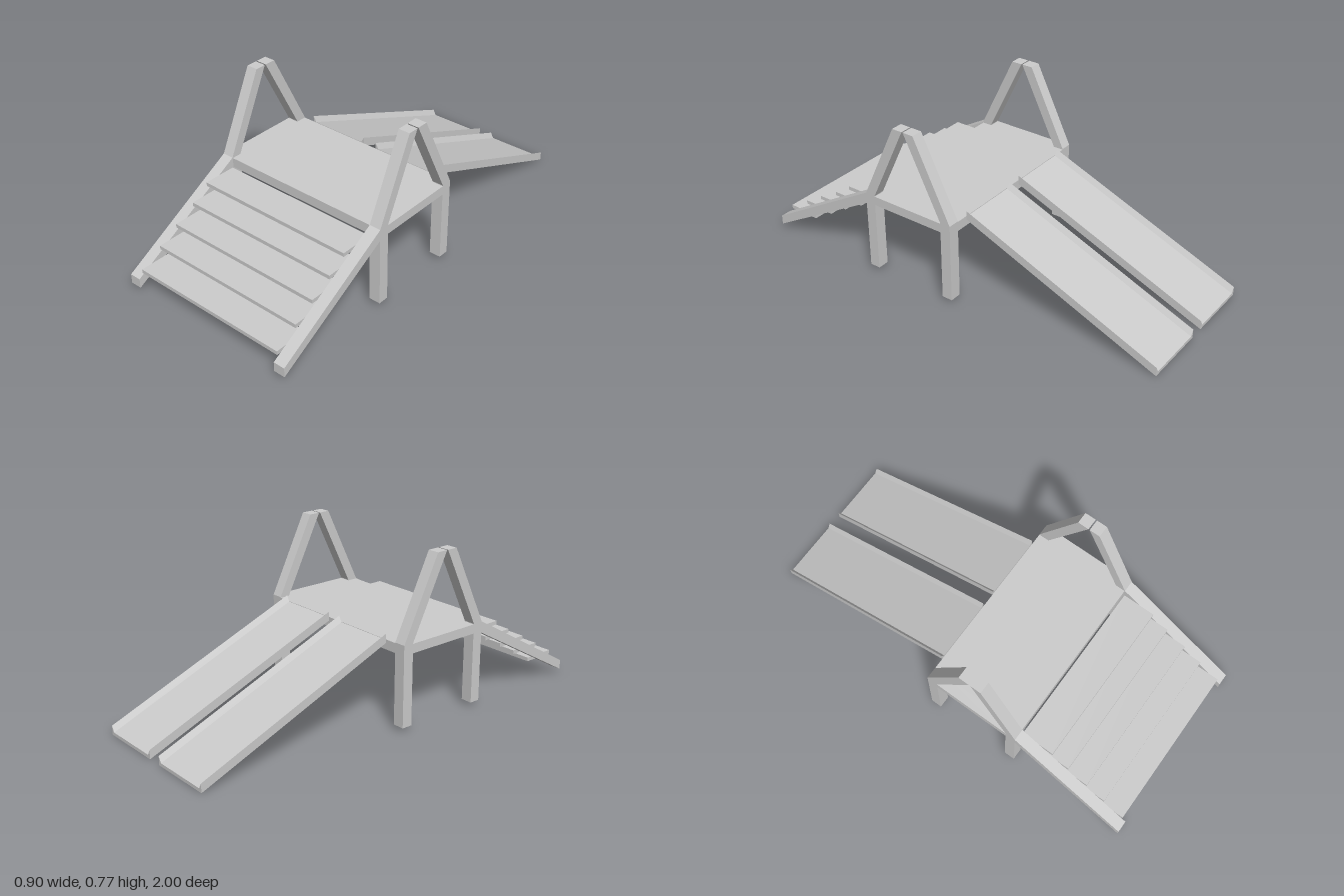
import * as THREE from 'three';

const material = new THREE.MeshStandardMaterial({ color: 0xcccccc, flatShading: true });

const SIDE_IN = 0.395, SIDE_OUT = 0.45;   // inner and outer faces of the side timbers
const WIDTH = SIDE_OUT - SIDE_IN;

function add(parent, name, geometry) {
  const mesh = new THREE.Mesh(geometry, material);
  mesh.name = name;
  parent.add(mesh);
  return mesh;
}

// Box given by its limits on each axis
function box([x0, x1], [y0, y1], [z0, z1]) {
  return new THREE.BoxGeometry(x1 - x0, y1 - y0, z1 - z0)
    .translate((x0 + x1) / 2, (y0 + y1) / 2, (z0 + z1) / 2);
}

function shapeOf(points) {
  return new THREE.Shape(points.map(([a, b]) => new THREE.Vector2(a, b)));
}

// Side timber: a (z, y) outline extruded across the timber width
function timber(points, side) {
  return new THREE.ExtrudeGeometry(shapeOf(points), { depth: WIDTH, bevelEnabled: false })
    .rotateY(-Math.PI / 2)
    .translate(side > 0 ? SIDE_OUT : -SIDE_IN, 0, 0);
}

// Ramp: a shallow channel with wedge-shaped lips, sheared down towards the back
function ramp(x0, x1) {
  const zEnd = -1, zTop = -0.05, rise = 0.38, lip = 0.015, floor = 0.015, height = 0.042;
  const section = [
    [x0, 0], [x1, 0], [x1, height], [x1 - lip, floor], [x0 + lip, floor], [x0, height],
  ];
  const geometry = new THREE.ExtrudeGeometry(shapeOf(section), { depth: zTop - zEnd, bevelEnabled: false })
    .translate(0, 0, zEnd);
  const p = geometry.attributes.position;
  for (let i = 0; i < p.count; i++) {
    p.setY(i, p.getY(i) + rise * (p.getZ(i) - zEnd) / (zTop - zEnd));
  }
  geometry.computeVertexNormals();
  return geometry;
}

export function createModel() {
  const model = new THREE.Group();
  model.name = 'rampPlatform';

  // Platform
  add(model, 'deck', box([-SIDE_IN, SIDE_IN], [0.35, 0.395], [-0.047, 0.422]));

  for (const side of [1, -1]) {
    const frame = new THREE.Group();
    frame.name = side > 0 ? 'leftFrame' : 'rightFrame';
    model.add(frame);
    const span = side > 0 ? [SIDE_IN, SIDE_OUT] : [-SIDE_OUT, -SIDE_IN];

    // Posts and the rail between them
    add(frame, 'frontPost', box(span, [0.02, 0.398], [0.374, 0.424]));
    add(frame, 'backPost', box(span, [0.02, 0.398], [-0.047, 0.004]));
    add(frame, 'sideRail', box(span, [0.352, 0.395], [0.004, 0.374]));

    // Leaning pair of handrail timbers
    add(frame, 'frontHandrail', timber([[0.374, 0.398], [0.424, 0.398], [0.247, 0.768], [0.196, 0.768]], side));
    add(frame, 'backHandrail', timber([[-0.047, 0.398], [0.004, 0.398], [0.19, 0.768], [0.137, 0.768]], side));

    // Sloping stair stringer
    add(frame, 'stringer', timber([[0.424, 0.345], [1, 0.02], [1, 0.065], [0.424, 0.398]], side));

    // Ramp on this side
    add(model, side > 0 ? 'leftRamp' : 'rightRamp', side > 0 ? ramp(0.035, 0.34) : ramp(-0.34, -0.035));
  }

  // Stair treads: top height and front edge
  const treads = [[0.348, 0.585], [0.288, 0.672], [0.23, 0.775], [0.17, 0.873], [0.106, 0.98]];
  treads.forEach(([top, front], i) => {
    add(model, `tread${i + 1}`, box([-SIDE_IN, SIDE_IN], [top - 0.018, top], [front - 0.157, front]));
  });

  return model;
}
